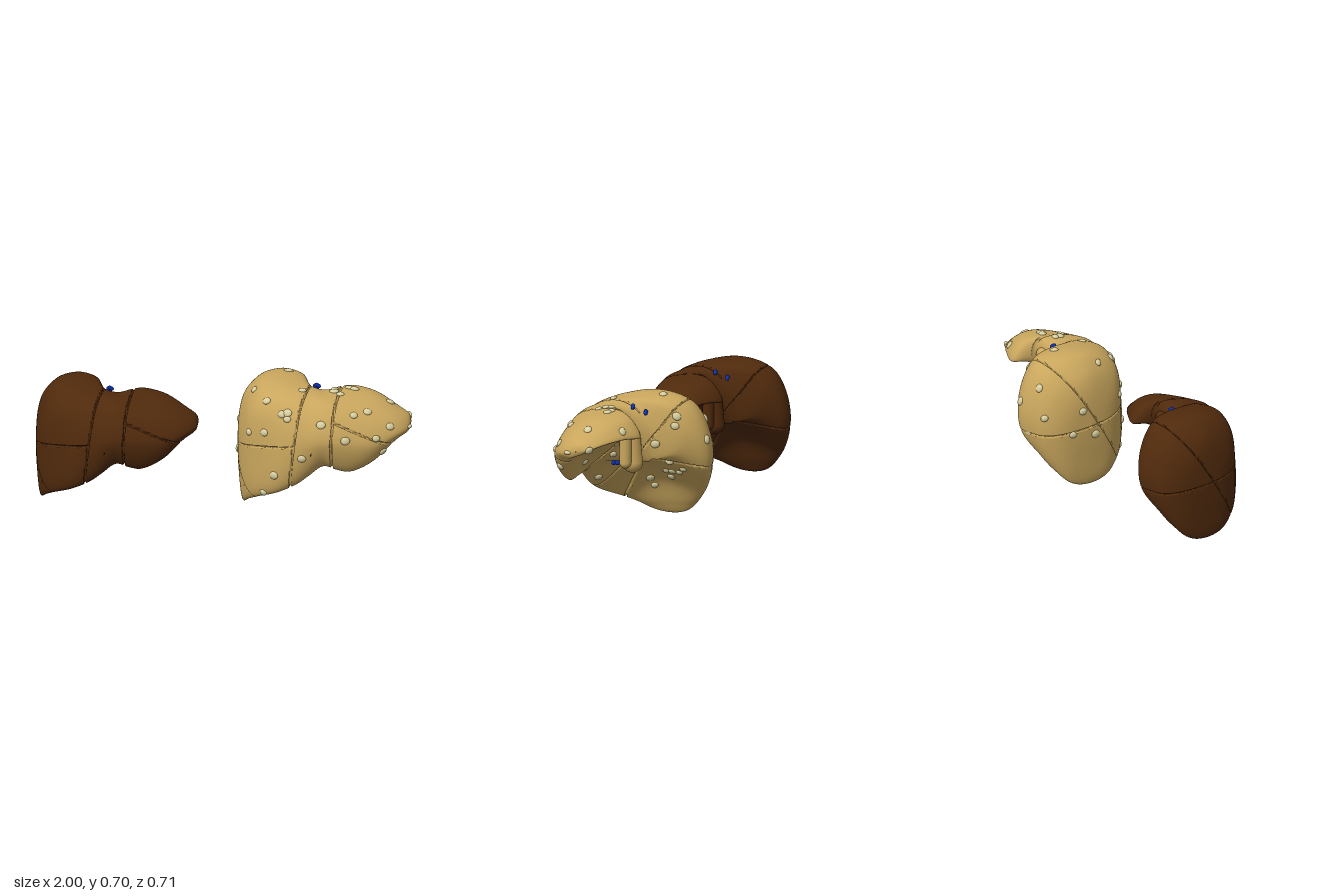
import * as THREE from 'three';

const mat = (name, color) => Object.assign(new THREE.MeshStandardMaterial({ color }), { name });

// Cross-sections: x, then (z, y) for front edge, front, front top, top, back top, back, back edge, underside
const RIGHT_LOBE = [
  [0.075, 0.03, 0.19, 0.06, 0.33, 0.04, 0.42, -0.04, 0.49, -0.13, 0.46, -0.17, 0.35, -0.13, 0.22, -0.05, 0.17],
  [0.10, 0.085, 0.045, 0.13, 0.28, 0.10, 0.47, -0.04, 0.58, -0.18, 0.52, -0.25, 0.33, -0.165, 0.04, -0.05, 0.0],
  [0.14, 0.145, 0.065, 0.185, 0.30, 0.15, 0.54, -0.03, 0.635, -0.22, 0.57, -0.305, 0.34, -0.225, 0.09, -0.05, 0.06],
  [0.20, 0.205, 0.095, 0.235, 0.32, 0.19, 0.59, 0.0, 0.68, -0.24, 0.62, -0.335, 0.38, -0.275, 0.17, -0.03, 0.19],
  [0.30, 0.27, 0.14, 0.30, 0.38, 0.22, 0.62, 0.0, 0.692, -0.24, 0.65, -0.35, 0.42, -0.32, 0.28, 0.0, 0.28],
  [0.40, 0.28, 0.19, 0.335, 0.42, 0.25, 0.62, 0.02, 0.68, -0.18, 0.645, -0.26, 0.50, -0.22, 0.38, 0.03, 0.33],
];
const LEFT_LOBE = [
  [0.46, 0.28, 0.235, 0.345, 0.43, 0.26, 0.61, 0.10, 0.665, -0.03, 0.62, -0.09, 0.50, -0.05, 0.35, 0.08, 0.35],
  [0.54, 0.27, 0.29, 0.35, 0.44, 0.27, 0.61, 0.15, 0.65, 0.03, 0.63, -0.01, 0.53, 0.02, 0.39, 0.15, 0.345],
  [0.61, 0.28, 0.275, 0.35, 0.44, 0.27, 0.60, 0.13, 0.65, 0.01, 0.645, -0.01, 0.57, 0.03, 0.48, 0.17, 0.36],
  [0.68, 0.275, 0.265, 0.34, 0.43, 0.26, 0.59, 0.10, 0.65, -0.06, 0.63, -0.125, 0.53, -0.06, 0.525, 0.17, 0.39],
  [0.80, 0.26, 0.32, 0.315, 0.42, 0.25, 0.56, 0.10, 0.63, -0.03, 0.61, -0.085, 0.54, -0.035, 0.53, 0.14, 0.44],
  [0.92, 0.20, 0.425, 0.25, 0.46, 0.21, 0.53, 0.12, 0.57, 0.04, 0.56, -0.005, 0.525, 0.03, 0.505, 0.11, 0.475],
  [0.98, 0.15, 0.46, 0.18, 0.48, 0.155, 0.51, 0.11, 0.53, 0.07, 0.525, 0.045, 0.505, 0.065, 0.49, 0.11, 0.47],
];

// Surfaces that divide the body into segments, each with the region it applies to
const middle = (p) => p.x - (0.389 - 0.158 * p.z + 0.115 * p.y);
const umbilical = (p) => p.x - (0.599 - 0.089 * p.z + 0.037 * p.y);
const GROOVES = [
  [middle, (p) => p.z > -0.03],
  [umbilical, () => true],
  [(p) => p.y - (0.55 - 0.45 * (p.x - 0.59)), (p) => umbilical(p) > 0 && p.z > 0.18],
  [(p) => p.y - (0.323 + 0.1 * p.x + 0.136 * p.z), (p) => middle(p) < 0],
  [(p) => p.z - (0.23 - 0.68 * p.y), (p) => middle(p) < 0 || (p.x < 0.48 && p.z < -0.04)],
];
const GROOVE_HALF = 0.008, GROOVE_DEPTH = 0.013;

// Adds an edge line to the mesh where f equals level
function splitAt(verts, tris, f, level) {
  const d = verts.map((v) => f(v) - level), made = new Map(), out = [];
  const cut = (a, b) => {
    const key = a < b ? `${a},${b}` : `${b},${a}`;
    if (!made.has(key)) {
      made.set(key, verts.length);
      verts.push(verts[a].clone().lerp(verts[b], d[a] / (d[a] - d[b])));
    }
    return made.get(key);
  };
  for (let t = 0; t < tris.length; t += 3) {
    const s = [0, 1, 2].map((k) => d[tris[t + k]] < 0);
    const lone = [0, 1, 2].find((k) => s[k] !== s[(k + 1) % 3] && s[k] !== s[(k + 2) % 3]);
    if (lone === undefined) {
      out.push(tris[t], tris[t + 1], tris[t + 2]);
      continue;
    }
    const [a, b, c] = [0, 1, 2].map((k) => tris[t + (lone + k) % 3]);
    const p = cut(a, b), q = cut(a, c);
    out.push(a, p, q, p, b, c, p, c, q);
  }
  return out;
}

function meshFrom(verts, tris) {
  const g = new THREE.BufferGeometry().setFromPoints(verts);
  g.setIndex(tris);
  g.computeVertexNormals();
  return g;
}

// Smooth closed loft through the sections, with the grooves pressed in
function bodyGeometry(nu = 110, nv = 96) {
  const rows = [...RIGHT_LOBE, ...LEFT_LOBE].map((s) =>
    Array.from({ length: 8 }, (_, k) => new THREE.Vector3(s[0], s[2 + 2 * k], s[1 + 2 * k])));
  const cap = (row, x) => {
    const c = row.reduce((a, p) => a.add(p), new THREE.Vector3()).divideScalar(8);
    return row.map((p) => p.clone().lerp(c, 0.98).setX(x));
  };
  rows.unshift(cap(rows[0], 0.064));
  rows.push(cap(rows[rows.length - 1], 0.993));
  const rails = rows[0].map((_, k) => new THREE.CatmullRomCurve3(rows.map((r) => r[k])));
  const verts = [];
  let tris = [];
  for (let i = 0; i <= nu; i++) {
    const loop = new THREE.CatmullRomCurve3(rails.map((r) => r.getPoint(i / nu)), true);
    for (let j = 0; j < nv; j++) {
      verts.push(loop.getPoint(j / nv));
      if (i === nu) continue;
      const a = i * nv + j, b = i * nv + (j + 1) % nv;
      tris.push(a, a + nv, b, b, a + nv, b + nv);
    }
  }
  for (const [f] of GROOVES)
    for (const k of [-1, -0.5, 0.5, 1]) tris = splitAt(verts, tris, f, k * GROOVE_HALF);
  const smooth = meshFrom(verts, tris).attributes.normal, n = new THREE.Vector3();
  const depth = verts.map((v) => Math.max(...GROOVES.map(([f, inside]) =>
    inside(v) ? THREE.MathUtils.clamp(2 - 2 * Math.abs(f(v)) / GROOVE_HALF, 0, 1) : 0)));
  const body = meshFrom(verts.map((v, i) =>
    v.clone().addScaledVector(n.fromBufferAttribute(smooth, i), -GROOVE_DEPTH * depth[i])), tris);
  // Keep the shading outside the grooves smooth
  depth.forEach((d, i) => {
    if (d < 0.01) body.attributes.normal.setXYZ(i, smooth.getX(i), smooth.getY(i), smooth.getZ(i));
  });
  return body;
}

function add(group, name, geo, material, p = [0, 0, 0], s = [1, 1, 1], r = [0, 0, 0]) {
  const m = new THREE.Mesh(geo, material);
  m.name = name;
  m.position.set(...p);
  m.scale.set(...s);
  m.rotation.set(...r);
  group.add(m);
  return m;
}

const BEAD = new THREE.SphereGeometry(1, 14, 10);

function liver(name, geo, tissue, vessel, slit) {
  const g = new THREE.Group();
  g.name = name;
  add(g, 'lobes', geo, tissue);
  // Lobe and column between the two main lobes at the back
  add(g, 'caudateLobe', new THREE.CapsuleGeometry(0.055, 0.14, 10, 24), tissue, [0.53, 0.425, -0.008], [1, 1, 1], [0.1, 0, 0]);
  add(g, 'caudateColumn', new THREE.CapsuleGeometry(0.032, 0.21, 8, 20), tissue, [0.59, 0.47, 0.0]);
  // Vessel stumps: two at the top, a branching one at the underside
  const stump = new THREE.CapsuleGeometry(0.011, 0.016, 4, 12);
  for (const p of [[0.477, 0.618, -0.068], [0.49, 0.646, 0], [0.5, 0.343, 0.09]])
    add(g, 'vesselStump', stump, vessel, p, [1, 1, 1], [0.5, 0, 0.9]);
  add(g, 'vesselBranch', BEAD, vessel, [0.515, 0.341, 0.078], [0.013, 0.013, 0.013]);
  add(g, 'vesselBranch', BEAD, vessel, [0.51, 0.338, 0.102], [0.012, 0.012, 0.012]);
  // Dark slit on the front face
  add(g, 'frontSlit', BEAD, slit, [0.472, 0.36, 0.331], [0.005, 0.034, 0.008], [0.3, 0, -0.42]);
  return g;
}

// Nodule places as seen along one axis
const FRONT = [[0.14, 0.44], [0.225, 0.46], [0.28, 0.24], [0.22, 0.125], [0.43, 0.35], [0.5, 0.255], [0.35, 0.58],
  [0.35, 0.55], [0.32, 0.57], [0.53, 0.535], [0.7, 0.575], [0.77, 0.585], [0.66, 0.455], [0.82, 0.46], [0.89, 0.51]];
const TOP = [[0.33, -0.105], [0.16, 0.06], [0.235, 0.19], [0.585, 0.11], [0.585, 0.08], [0.66, 0.05],
  [0.69, 0.06], [0.62, 0.14], [0.79, -0.07], [0.88, 0.09], [0.43, -0.22], [0.42, 0.14]];
const SIDE = [[0.04, 0.505], [-0.11, 0.445], [0.075, 0.4], [0.19, 0.37], [0.26, 0.375], [0.06, 0.32], [0.22, 0.235],
  [0.015, 0.205], [0.005, 0.16], [-0.155, 0.34], [-0.135, 0.265], [-0.18, 0.265], [-0.1, 0.265], [-0.11, 0.225],
  [-0.215, 0.29], [-0.21, 0.545], [-0.215, 0.595]];
const BACK = [[0.14, 0.4], [0.2, 0.55], [0.3, 0.46], [0.24, 0.3]];
const OUTER = [[-0.1, 0.42], [-0.02, 0.28], [-0.16, 0.3]];

function addNodules(group, material) {
  const ray = new THREE.Raycaster(), lobes = group.getObjectByName('lobes');
  const Z = new THREE.Vector3(0, 0, 1);
  let count = 0;
  const place = (list, origin, dir) => list.forEach(([a, b]) => {
    ray.set(new THREE.Vector3(...origin(a, b)), new THREE.Vector3(...dir));
    const hit = ray.intersectObject(lobes)[0];
    if (!hit) return;
    const r = 0.021 + 0.002 * (count++ % 3);
    const m = add(group, 'nodule', BEAD, material, hit.point.toArray(), [r, r * 0.85, 0.011]);
    m.quaternion.setFromUnitVectors(Z, hit.face.normal);
  });
  place(FRONT, (x, y) => [x, y, 2], [0, 0, -1]);
  place(TOP, (x, z) => [x, 2, z], [0, -1, 0]);
  place(SIDE, (z, y) => [2, y, z], [-1, 0, 0]);
  place(BACK, (x, y) => [x, y, -2], [0, 0, 1]);
  place(OUTER, (z, y) => [-2, y, z], [1, 0, 0]);
  add(group, 'nodule', BEAD, material, [0.98, 0.485, 0.16], [0.02, 0.011, 0.022]);
}

export function createModel() {
  const model = new THREE.Group();
  model.name = 'liverPair';
  const geo = bodyGeometry();
  const vessel = mat('vesselBlue', 0x0d2fb0), slit = mat('slitBlack', 0x1d1208);
  const healthy = liver('brownLiver', geo, mat('brownTissue', 0x502a0c), vessel, slit);
  healthy.scale.setScalar(0.936);
  healthy.position.x = -1.06;
  const nodular = liver('tanLiver', geo, mat('tanTissue', 0xc9a65d), vessel, slit);
  addNodules(nodular, mat('noduleCream', 0xd8ce9e));
  model.add(healthy, nodular);
  return model;
}
